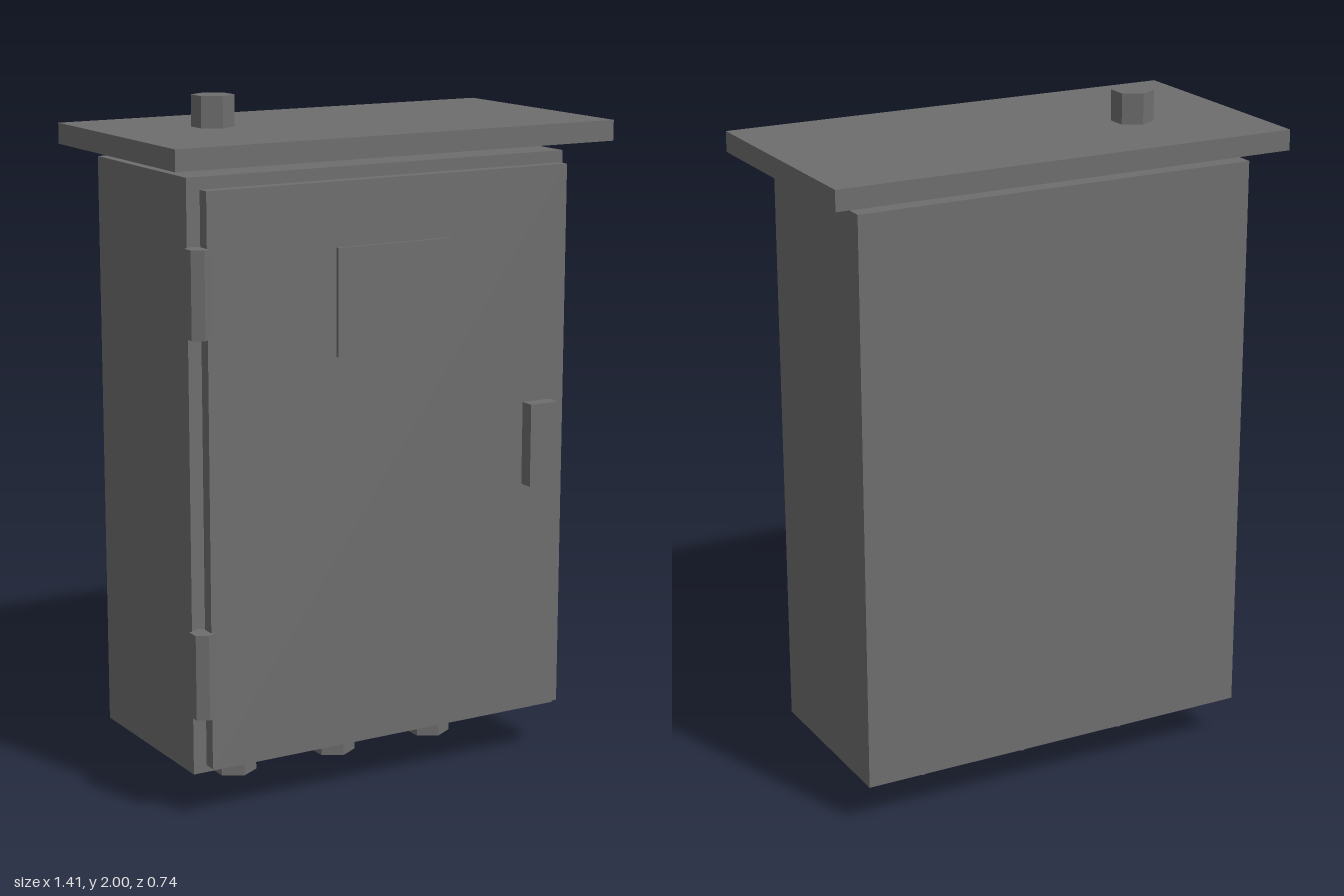
import * as THREE from 'three';

export function createModel() {
  const group = new THREE.Group();
  const material = new THREE.MeshStandardMaterial({ color: 0x6e6e6e, flatShading: true });

  const add = (name, geometry, x, y, z) => {
    const mesh = new THREE.Mesh(geometry, material);
    mesh.name = name;
    mesh.position.set(x, y, z);
    group.add(mesh);
  };
  // Box given by its limits on each axis
  const box = (name, [x0, x1], [y0, y1], [z0, z1]) =>
    add(name, new THREE.BoxGeometry(x1 - x0, y1 - y0, z1 - z0),
      (x0 + x1) / 2, (y0 + y1) / 2, (z0 + z1) / 2);
  // Upright six-sided rod
  const hexRod = (name, radius, x, [y0, y1], z) =>
    add(name, new THREE.CylinderGeometry(radius, radius, y1 - y0, 6), x, (y0 + y1) / 2, z);

  // Cabinet, rain roof and door with a gap in front of the cabinet
  box('cabinetBody', [-0.614, 0.614], [0.125, 1.816], [-0.305, 0.248]);
  box('rainRoof', [-0.706, 0.706], [1.85, 1.91], [-0.369, 0.369]);
  box('door', [-0.586, 0.586], [0.156, 1.785], [0.273, 0.311]);

  // Door fittings
  box('doorPlate', [-0.184, 0.184], [1.295, 1.602], [0.305, 0.322]);
  box('doorHandle', [0.445, 0.537], [0.85, 1.096], [0.305, 0.355]);
  for (const y of [0.432, 1.507]) hexRod('hinge', 0.037, -0.603, [y - 0.123, y + 0.123], 0.293);

  // Roof mast through the gap, and cable glands underneath
  hexRod('roofMast', 0.061, -0.37, [1.8, 2], -0.061);
  for (const x of [-0.34, 0, 0.34]) hexRod('cableGland', 0.067, x, [0, 0.14], -0.03);

  return group;
}
